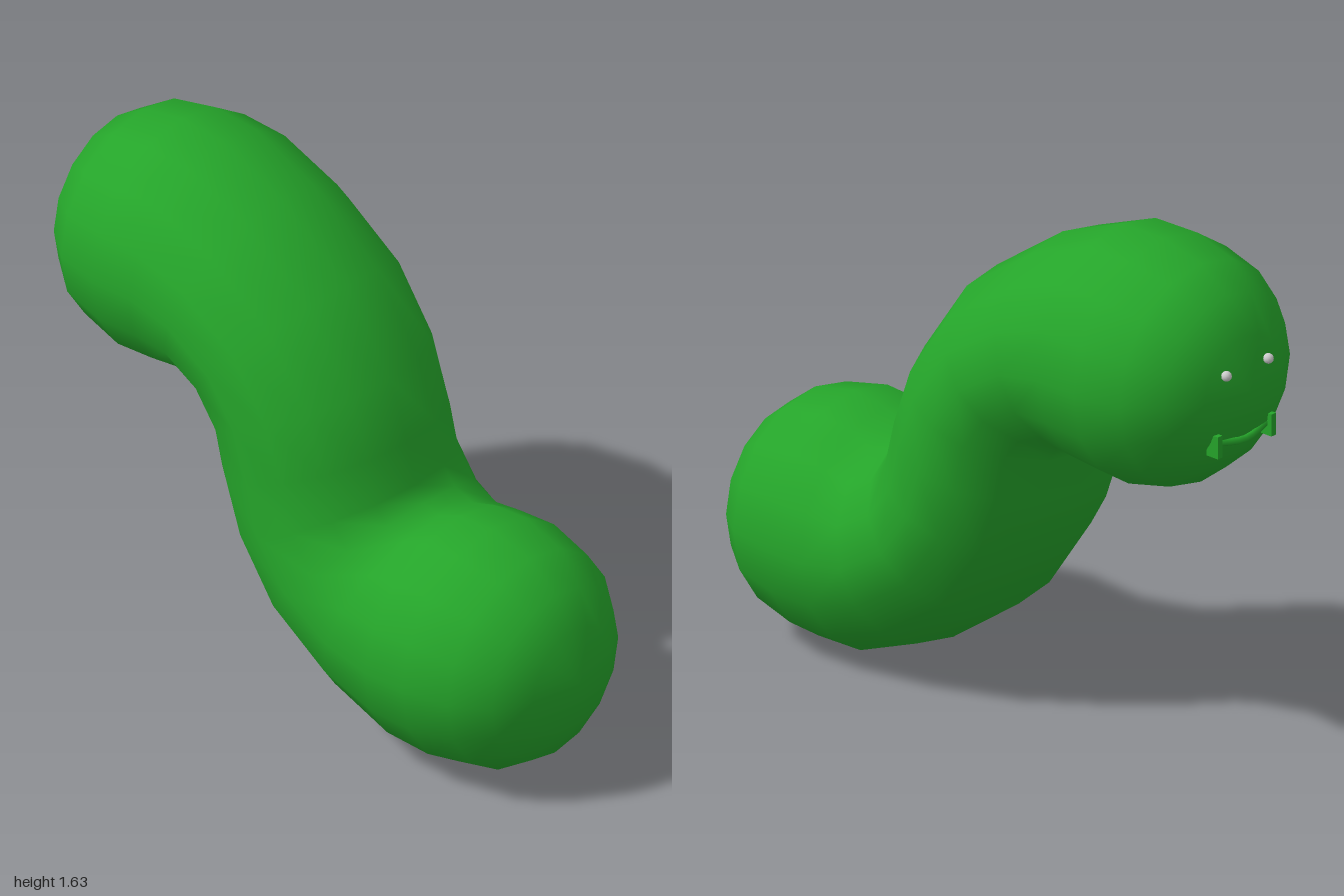
import * as THREE from 'three';

const SIDES = 16;
const green = new THREE.MeshStandardMaterial({ color: 0x25a52a });
const grey = new THREE.MeshStandardMaterial({ color: 0xcccccc });

// Cross-sections of the head half: [outer x, outer y, inner x, inner y, half width in z]
const headHalf = [
  [-0.96, 1.42, -0.96, 1.08, 0.17],
  [-0.89, 1.53, -0.89, 0.985, 0.272],
  [-0.785, 1.6, -0.785, 0.905, 0.352],
  [-0.63, 1.635, -0.63, 0.87, 0.385],
  [-0.46, 1.63, -0.5, 0.885, 0.385],
  [-0.225, 1.535, -0.42, 0.92, 0.385],
  [0.04, 1.35, -0.355, 0.905, 0.385],
  [0.215, 1.1, -0.315, 0.86, 0.385],
];
const middle = [0.285, 0.915, -0.285, 0.725, 0.385];
const CENTRE_Y = 0.82;
const drift = (x) => 0.02 * x; // the body leans slightly in z along its length

// The tail half is the head half turned by 180 degrees about the centre
const turn = ([ax, ay, bx, by, w]) => [-bx, 2 * CENTRE_Y - by, -ax, 2 * CENTRE_Y - ay, w];

function bodyGeometry() {
  const rings = [...headHalf, middle, ...headHalf.map(turn).reverse()];
  const pos = [];
  const index = [];
  for (const [ax, ay, bx, by, w] of rings) {
    const cx = (ax + bx) / 2, cy = (ay + by) / 2;
    for (let j = 0; j < SIDES; j++) {
      const t = (j / SIDES) * Math.PI * 2;
      const c = Math.cos(t);
      pos.push(cx + (c * (ax - bx)) / 2, cy + (c * (ay - by)) / 2, drift(cx) + Math.sin(t) * w);
    }
  }
  const head = rings.length * SIDES, tail = head + 1;
  pos.push(-0.99, 1.25, -0.02, 0.995, 0.39, 0.02);

  const last = (rings.length - 1) * SIDES;
  for (let j = 0; j < SIDES; j++) {
    const k = (j + 1) % SIDES;
    for (let i = 0; i < last; i += SIDES) {
      const a = i + j, b = i + k, c = a + SIDES, d = b + SIDES;
      index.push(a, b, c, b, d, c);
    }
    index.push(head, k, j, tail, last + j, last + k); // rounded end caps
  }
  const g = new THREE.BufferGeometry();
  g.setAttribute('position', new THREE.Float32BufferAttribute(pos, 3));
  g.setIndex(index);
  g.computeVertexNormals();
  return g;
}

export function createModel() {
  const group = new THREE.Group();
  const add = (name, geometry, material) => {
    const mesh = new THREE.Mesh(geometry, material);
    mesh.name = name;
    group.add(mesh);
    return mesh;
  };

  add('body', bodyGeometry(), green);

  // Two bead eyes on the upper end
  for (const [name, z] of [['rightEye', -0.115], ['leftEye', 0.065]]) {
    add(name, new THREE.SphereGeometry(0.016, 12, 8), grey).position.set(-0.98, 1.33, z);
  }

  // Thin lip following the face, with a small block at each corner
  const lip = new THREE.CatmullRomCurve3([
    new THREE.Vector3(-0.95, 1.115, -0.14),
    new THREE.Vector3(-0.97, 1.1, -0.025),
    new THREE.Vector3(-0.95, 1.115, 0.09),
  ]);
  add('mouth', new THREE.TubeGeometry(lip, 8, 0.012, 6), green);
  for (const [name, z] of [['rightMouthCorner', -0.14], ['leftMouthCorner', 0.09]]) {
    add(name, new THREE.BoxGeometry(0.045, 0.07, 0.02), green).position.set(-0.955, 1.11, z);
  }
  return group;
}
